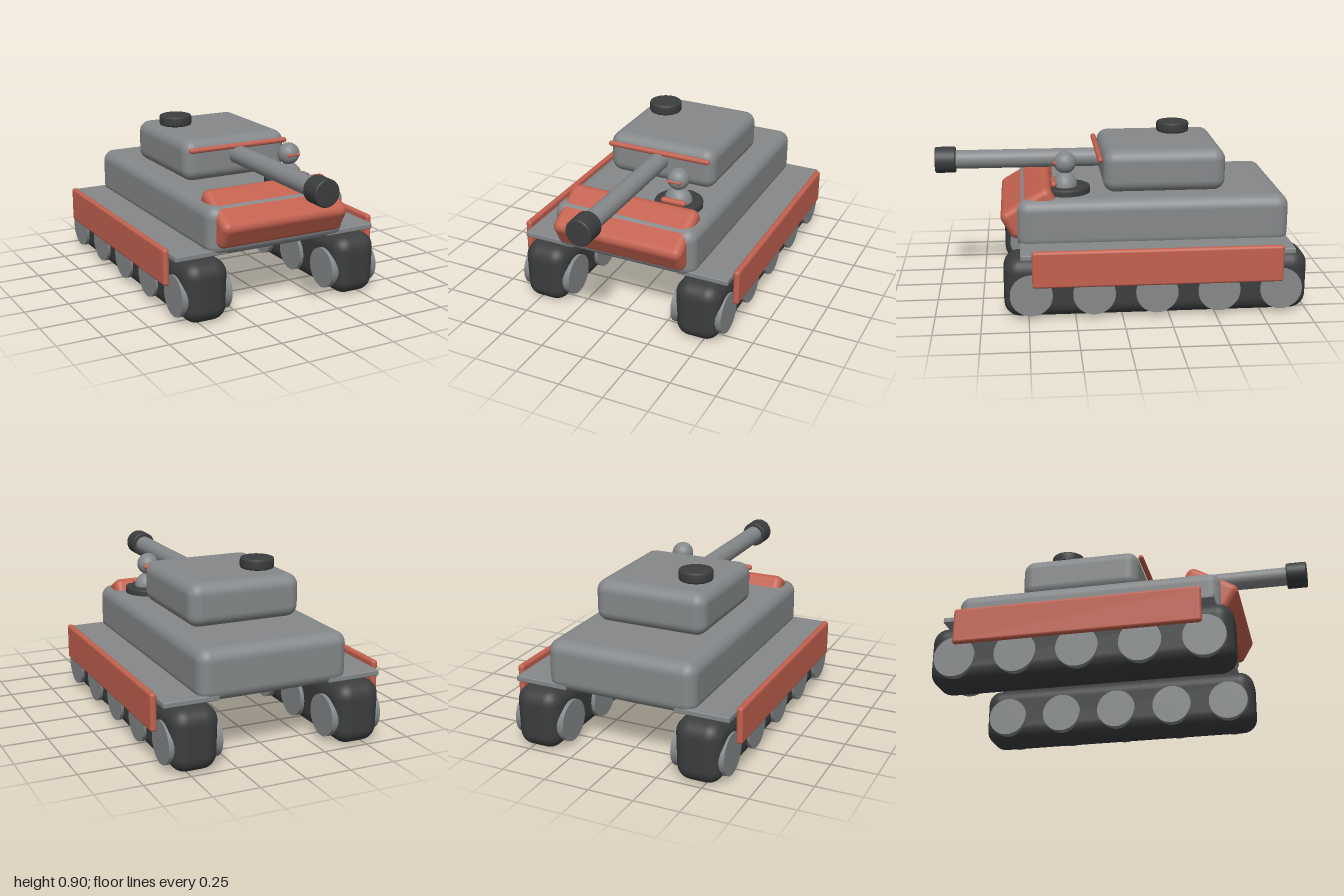
import * as THREE from 'three';
import { RoundedBoxGeometry } from 'three/addons/geometries/RoundedBoxGeometry.js';

const flat = (name, color) => {
  const m = new THREE.MeshStandardMaterial({ color });
  m.name = name;
  return m;
};

export function createModel() {
  const grey = flat('armourGrey', 0x85888a);
  const dark = flat('darkRubber', 0x3b3d3e);
  const red = flat('accentRed', 0xc3614f);
  const model = new THREE.Group();
  model.name = 'tank';

  const add = (name, geometry, material, x, y, z, parent = model) => {
    const mesh = new THREE.Mesh(geometry, material);
    mesh.name = name;
    mesh.position.set(x, y, z);
    parent.add(mesh);
    return mesh;
  };
  const rounded = (w, h, d, r) => new RoundedBoxGeometry(w, h, d, 5, r);
  const disc = (r, length) => new THREE.CylinderGeometry(r, r, length, 40);
  // Round bar lying across the model
  const crossBar = (r, width) => new THREE.CapsuleGeometry(r, width - 2 * r, 6, 16).rotateZ(Math.PI / 2);
  // Turned disc with softened rims
  const softDisc = (r, h, b) => new THREE.LatheGeometry([
    [0, -h / 2], [r - b, -h / 2], [r - b * 0.3, -h / 2 + b * 0.3], [r, -h / 2 + b],
    [r, h / 2 - b], [r - b * 0.3, h / 2 - b * 0.3], [r - b, h / 2], [0, h / 2],
  ].map(([x, y]) => new THREE.Vector2(x, y)), 40);

  // Hull and the sloping front plate that cuts through its upper edge
  add('hull', rounded(0.84, 0.275, 1.48, 0.065), grey, 0, 0.4675, -0.185);
  add('frontPlate', rounded(0.76, 0.172, 0.311, 0.04), red, 0, 0.522, 0.477).rotation.x = Math.PI / 6;

  // Track body, slightly narrower towards the ground
  const trackGeometry = rounded(0.262, 0.337, 1.63, 0.085);
  const p = trackGeometry.attributes.position;
  for (let i = 0; i < p.count; i++) {
    p.setX(i, p.getX(i) * (0.97 + 0.2 * Math.min(p.getY(i), 0.15)));
  }
  trackGeometry.computeBoundingSphere();
  const wheelGeometry = disc(0.113, 0.29).rotateZ(Math.PI / 2);

  // Running gear, mirrored on both sides
  for (const side of [1, -1]) {
    const gear = new THREE.Group();
    gear.name = side > 0 ? 'leftRunningGear' : 'rightRunningGear';
    model.add(gear);
    add('track', trackGeometry, dark, side * 0.46, 0.1725, -0.185, gear);
    for (let i = 0; i < 5; i++) {
      add('roadWheel', wheelGeometry, grey, side * 0.456, 0.143, 0.486 - i * 0.334, gear);
    }
    add('fender', rounded(0.3, 0.03, 1.46, 0.006), grey, side * 0.46, 0.357, -0.19, gear);
    add('sideSkirt', rounded(0.035, 0.2, 1.33, 0.015), red, side * 0.632, 0.3, -0.185, gear);
  }

  // Turret, stripe bar and hatch
  const turret = new THREE.Group();
  turret.name = 'turret';
  model.add(turret);
  add('turretBody', rounded(0.64, 0.235, 0.67, 0.065), grey, 0, 0.7275, -0.255, turret);
  add('turretBar', crossBar(0.015, 0.615), red, 0, 0.796, 0.097, turret);
  add('roofHatch', softDisc(0.093, 0.06, 0.012), dark, -0.172, 0.876, -0.357, turret);

  // Gun
  add('gunBarrel', disc(0.052, 0.87).rotateX(Math.PI / 2), grey, 0, 0.743, 0.475, turret);
  add('muzzle', softDisc(0.073, 0.115, 0.008).rotateX(Math.PI / 2), dark, 0, 0.743, 0.9425, turret);

  // Crew member standing in the front hatch
  const crew = new THREE.Group();
  crew.name = 'crewMember';
  crew.position.set(0.21, 0, 0.285);
  model.add(crew);
  add('crewHatchRing', softDisc(0.132, 0.05, 0.01), dark, 0, 0.615, -0.005, crew);
  add('torso', new THREE.SphereGeometry(1, 32, 20), grey, 0, 0.635, 0, crew).scale.set(0.078, 0.082, 0.067);
  add('head', new THREE.SphereGeometry(0.061, 32, 20), grey, 0, 0.767, 0, crew);
  add('scarf', crossBar(0.017, 0.145), red, 0, 0.657, 0.064, crew);
  add('goggleStrap', crossBar(0.006, 0.07), red, 0, 0.769, 0.059, crew);
  for (const side of [1, -1]) {
    add('goggleLens', new THREE.SphereGeometry(0.011, 16, 10), red, side * 0.027, 0.769, 0.056, crew);
  }
  return model;
}
